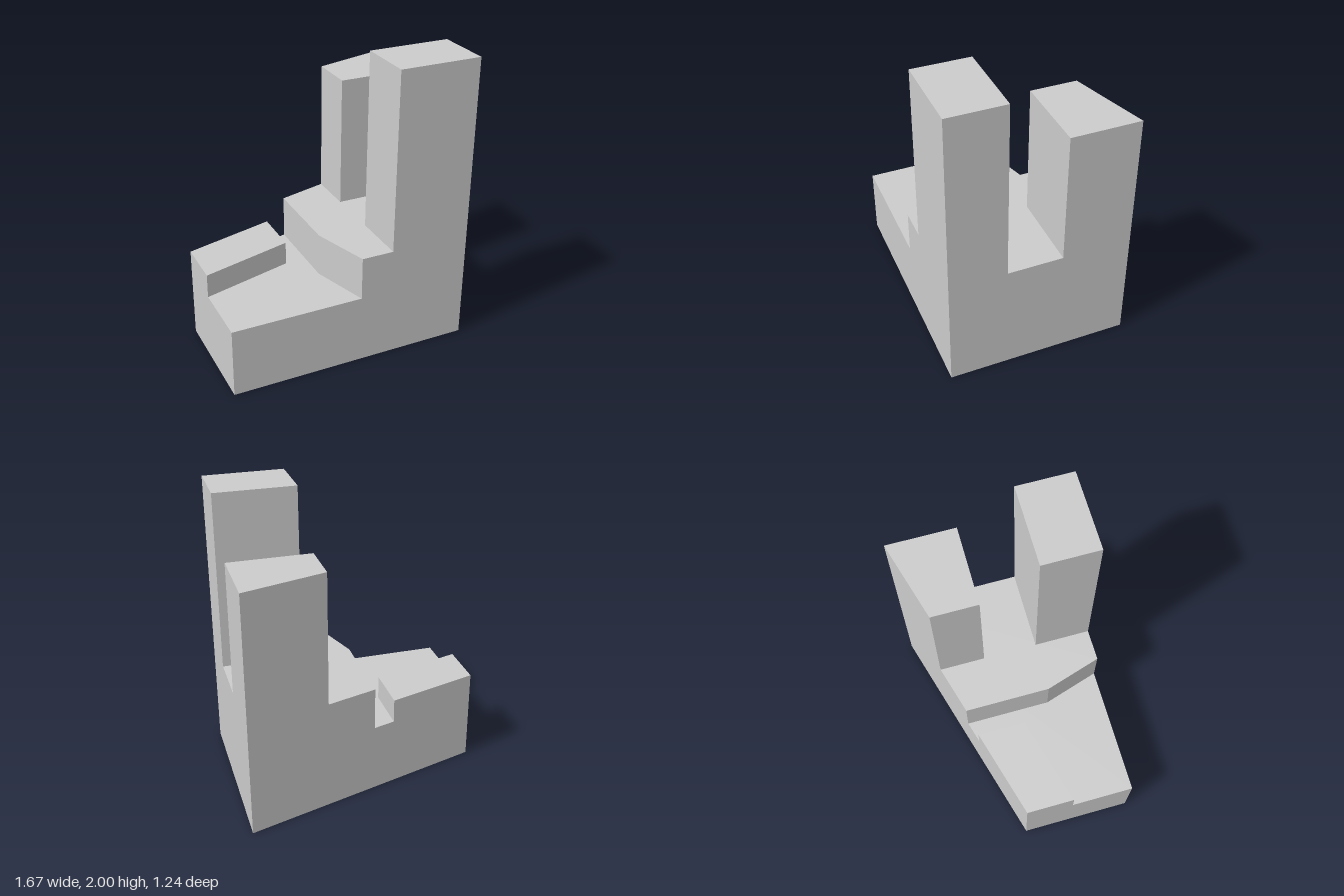
import * as THREE from 'three';

const W = 0.835, FRONT = 0.618;
// z of the slanted rear wall at a given x
const backZ = (x) => -0.385 - 0.2814 * x;

const material = new THREE.MeshStandardMaterial({ color: 0xcccccc, flatShading: true });

// Upright prism over a plan outline of [x, z] corners
function prism(name, outline, y0, y1) {
  const shape = new THREE.Shape(outline.map(([x, z]) => new THREE.Vector2(x, -z)));
  const geometry = new THREE.ExtrudeGeometry(shape, { depth: y1 - y0, bevelEnabled: false });
  geometry.rotateX(-Math.PI / 2).translate(0, y0, 0);
  const mesh = new THREE.Mesh(geometry, material);
  mesh.name = name;
  return mesh;
}

export function createModel() {
  const model = new THREE.Group();
  model.name = 'steppedBlock';
  const baseTop = 0.477, ledgeTop = 0.64, terraceTop = 0.773;
  const ledgeEnd = -0.21, terraceEdge = -0.062, towerEdge = 0.28;

  model.add(
    // Base with slanted rear wall
    prism('base', [[-W, FRONT], [W, FRONT], [W, backZ(W)], [-W, backZ(-W)]], 0, baseTop),
    // Low ledge along the rear wall
    prism('rearLedge', [
      [-W, 0.183], [ledgeEnd, 0.009], [ledgeEnd, backZ(ledgeEnd)], [-W, backZ(-W)],
    ], baseTop, ledgeTop),
    // Raised terrace with an angled front corner
    prism('terrace', [
      [0.06, FRONT], [W, FRONT], [W, backZ(W)], [terraceEdge, backZ(terraceEdge)], [terraceEdge, 0.225],
    ], baseTop, terraceTop),
    // Two towers with a gap between them
    prism('frontTower', [
      [towerEdge, FRONT], [W, FRONT], [W, 0.23], [towerEdge, 0.23],
    ], terraceTop, 2),
    prism('rearTower', [
      [towerEdge, -0.147], [W, -0.147], [W, backZ(W)], [towerEdge, backZ(towerEdge)],
    ], terraceTop, 1.68),
  );
  return model;
}
